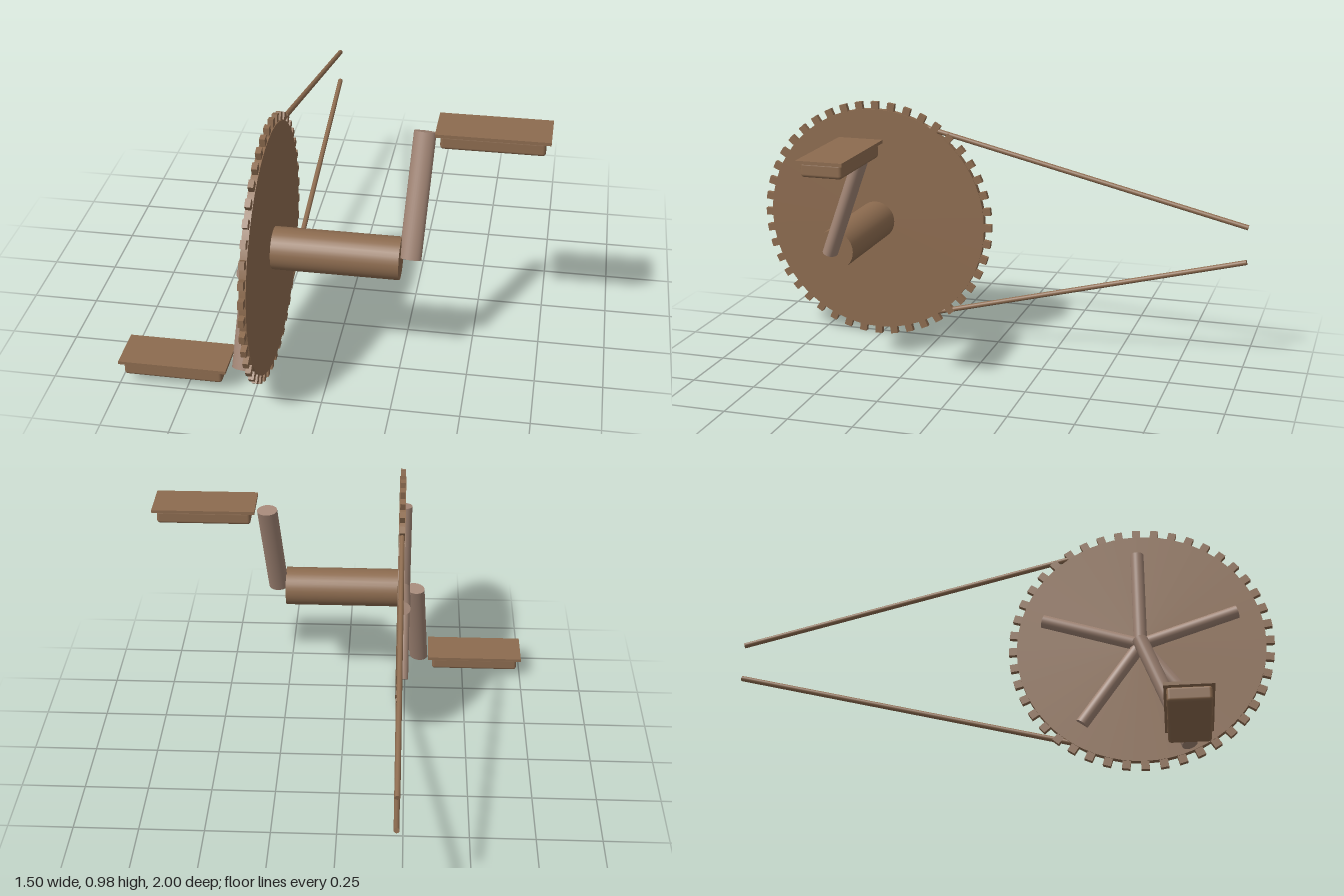
import * as THREE from 'three';
import { RoundedBoxGeometry } from 'three/addons/geometries/RoundedBoxGeometry.js';

const CY = 0.49, CZ = 0.51; // crank axis
const RING_X = -0.223;

export function createModel() {
  const root = new THREE.Group();
  root.name = 'pedalCrankset';
  const brown = new THREE.MeshStandardMaterial({ name: 'brown', color: 0x8c6b4f });
  const tan = new THREE.MeshStandardMaterial({ name: 'rosyTan', color: 0xa08474 });

  const add = (name, geometry, material, x = 0, y = 0, z = 0, parent = root) => {
    const mesh = new THREE.Mesh(geometry, material);
    mesh.name = name;
    mesh.position.set(x, y, z);
    parent.add(mesh);
    return mesh;
  };

  // Round bar between two points, with optional flattening in depth
  const bar = (name, a, b, radius, material, flat = 1, parent = root) => {
    const from = new THREE.Vector3(...a), to = new THREE.Vector3(...b);
    const dir = to.clone().sub(from);
    const geometry = new THREE.CylinderGeometry(radius, radius, dir.length(), 32);
    geometry.scale(1, 1, flat);
    const mesh = add(name, geometry, material, 0, 0, 0, parent);
    mesh.position.copy(from).add(to).multiplyScalar(0.5);
    mesh.quaternion.setFromUnitVectors(new THREE.Vector3(0, 1, 0), dir.normalize());
    return mesh;
  };

  // Axle
  bar('axle', [-0.23, CY, CZ], [0.25, CY, CZ], 0.078, brown);

  // Toothed chainring
  const ring = new THREE.Group();
  ring.name = 'chainring';
  ring.position.set(RING_X, CY, CZ);
  root.add(ring);
  const disc = new THREE.CylinderGeometry(0.46, 0.46, 0.025, 64);
  disc.rotateZ(Math.PI / 2);
  add('chainringDisc', disc, brown, 0, 0, 0, ring);
  const toothGeometry = new THREE.BoxGeometry(0.02, 0.04, 0.03);
  const TEETH = 44;
  for (let i = 0; i < TEETH; i++) {
    const a = (i / TEETH) * Math.PI * 2;
    const tooth = add('tooth', toothGeometry, brown, 0, Math.cos(a) * 0.47, Math.sin(a) * 0.47, ring);
    tooth.rotation.x = a;
  }

  // Five spider arms on the outer face of the ring
  for (let i = 0; i < 5; i++) {
    const a = (i / 5) * Math.PI * 2;
    bar('spiderArm', [-0.237, CY, CZ],
      [-0.237, CY + Math.cos(a) * 0.38, CZ + Math.sin(a) * 0.38], 0.025, tan);
  }

  // Opposed cranks and level pedals
  for (const s of [1, -1]) {
    const side = s > 0 ? 'left' : 'right';
    bar(side + 'Crank', [s * 0.283, CY + s * 0.002, CZ],
      [s * 0.308, CY + s * 0.432, CZ - s * 0.16], 0.04, tan, 0.7);
    const pedal = new THREE.Group();
    pedal.name = side + 'Pedal';
    pedal.position.set(s * 0.55, CY + s * 0.429, CZ - s * 0.16);
    root.add(pedal);
    add('pedalBody', new RoundedBoxGeometry(0.365, 0.054, 0.152, 3, 0.012), brown, 0, 0.003, 0, pedal);
    add('pedalPlate', new THREE.BoxGeometry(0.4, 0.012, 0.17), brown, 0, 0.032, 0, pedal);
  }

  // Upper and lower chain runs
  bar('upperChain', [RING_X, 0.885, 0.29], [RING_X, 0.575, -0.998], 0.01, brown);
  bar('lowerChain', [RING_X, 0.106, 0.29], [RING_X, 0.437, -0.998], 0.01, brown);

  return root;
}
